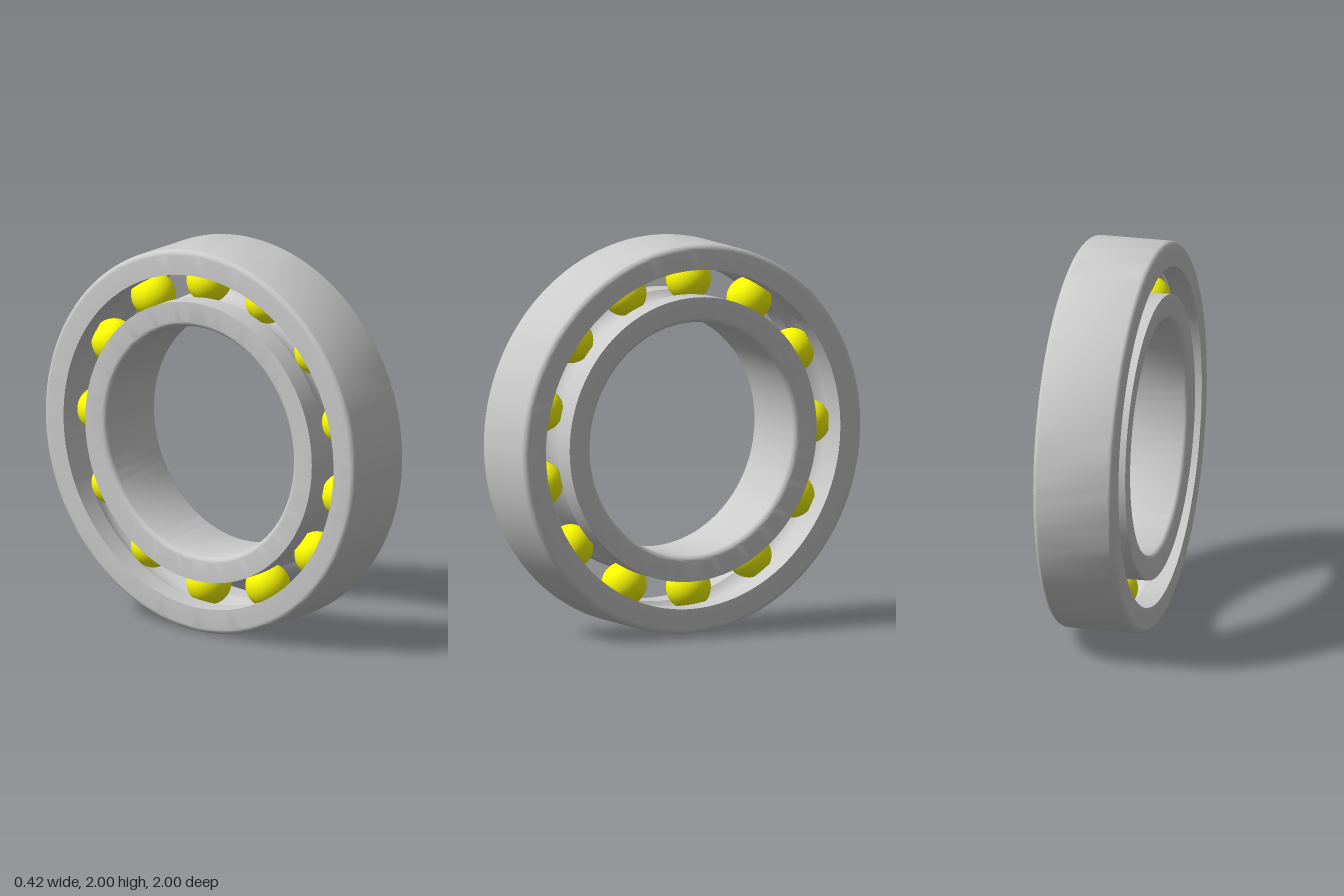
import * as THREE from 'three';
import { toCreasedNormals } from 'three/addons/utils/BufferGeometryUtils.js';

const HALF_WIDTH = 0.21, FILLET = 0.03;
const BALL_COUNT = 13, BALL_RADIUS = 0.115, PITCH = 0.8;
const GROOVE = 0.117, LAND = 0.07; // groove radius, and gap from pitch circle to each ring
const GROOVE_ANGLE = Math.acos(LAND / GROOVE);

// Points along an arc in the (radius, width) plane
function arc(r, w, radius, from, to, steps) {
  return Array.from({ length: steps + 1 }, (_, i) => {
    const a = from + (to - from) * i / steps;
    return new THREE.Vector2(r + radius * Math.cos(a), w + radius * Math.sin(a));
  });
}

// Closed profile spun around the x axis
function ring(name, profile, material) {
  const lathe = new THREE.LatheGeometry([...profile, profile[0].clone()], 128);
  lathe.rotateZ(-Math.PI / 2);
  const mesh = new THREE.Mesh(toCreasedNormals(lathe, 0.5), material);
  mesh.name = name;
  return mesh;
}

export function createModel() {
  const model = new THREE.Group();
  model.name = 'ballBearing';
  const grey = new THREE.MeshStandardMaterial({ color: 0xcccccc });
  const yellow = new THREE.MeshStandardMaterial({ color: 0xffff00 });
  const P = Math.PI, side = HALF_WIDTH - FILLET;

  const bearing = new THREE.Group();
  bearing.name = 'bearing';
  bearing.position.y = 1;
  model.add(bearing);

  // Outer ring: rounded outside edges, ball groove on the inside
  const outerLand = PITCH + LAND;
  bearing.add(ring('outerRing', [
    ...arc(1 - FILLET, -side, FILLET, -P / 2, 0, 6),
    ...arc(1 - FILLET, side, FILLET, 0, P / 2, 6),
    new THREE.Vector2(outerLand, HALF_WIDTH),
    ...arc(PITCH, 0, GROOVE, GROOVE_ANGLE, -GROOVE_ANGLE, 16),
    new THREE.Vector2(outerLand, -HALF_WIDTH),
  ], grey));

  // Inner ring: ball groove on the outside, rounded bore edges
  const innerLand = PITCH - LAND, bore = 0.6;
  bearing.add(ring('innerRing', [
    new THREE.Vector2(innerLand, -HALF_WIDTH),
    ...arc(PITCH, 0, GROOVE, P + GROOVE_ANGLE, P - GROOVE_ANGLE, 16),
    new THREE.Vector2(innerLand, HALF_WIDTH),
    ...arc(bore + FILLET, side, FILLET, P / 2, P, 6),
    ...arc(bore + FILLET, -side, FILLET, P, 1.5 * P, 6),
  ], grey));

  // Balls evenly spaced around the pitch circle, the first at the back
  const balls = new THREE.Group();
  balls.name = 'balls';
  const ballGeometry = new THREE.SphereGeometry(BALL_RADIUS, 40, 24);
  for (let i = 0; i < BALL_COUNT; i++) {
    const a = 2 * P * i / BALL_COUNT;
    const ball = new THREE.Mesh(ballGeometry, yellow);
    ball.name = 'ball' + (i + 1);
    ball.position.set(0, PITCH * Math.sin(a), -PITCH * Math.cos(a));
    balls.add(ball);
  }
  bearing.add(balls);

  return model;
}
